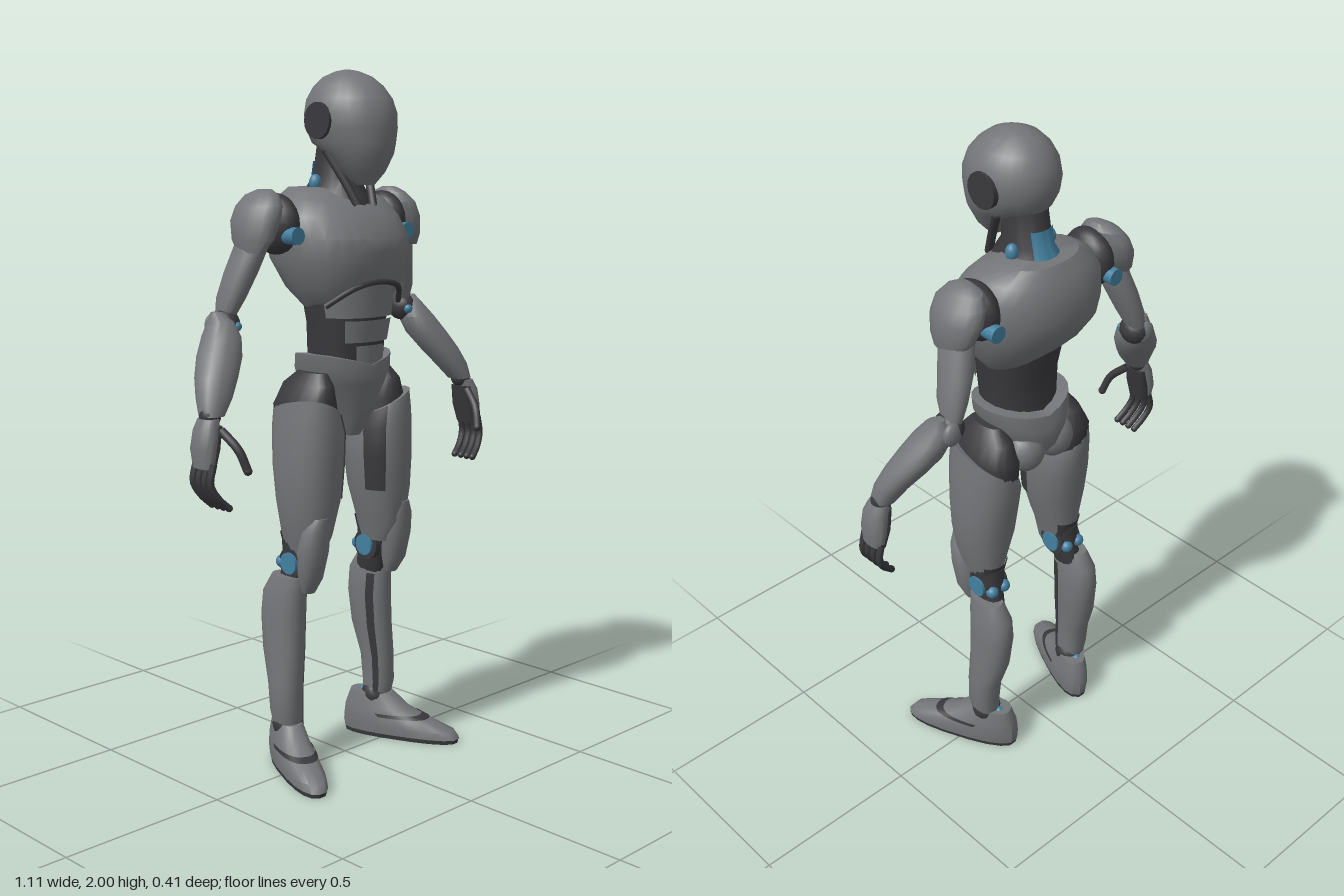
import * as THREE from 'three';
import { toCreasedNormals } from 'three/addons/utils/BufferGeometryUtils.js';

const mat = (name, color) => {
  const m = new THREE.MeshStandardMaterial({ color, side: THREE.DoubleSide });
  m.name = name;
  return m;
};

export function createModel() {
  const root = new THREE.Group();
  root.name = 'robot';
  const shell = mat('shell grey', 0x737578);
  const dark = mat('joint charcoal', 0x39383c);
  const blue = mat('joint blue', 0x437f9f);

  const add = (parent, name, geo, m) => {
    const mesh = new THREE.Mesh(geo, m);
    mesh.name = name;
    parent.add(mesh);
    return mesh;
  };

  // Skin over horizontal rounded sections [y, x0, x1, z0, z1], lowest first.
  // s = -1 mirrors; arc limits the angle (0 = front, + = outward); out swells it.
  function loft(parent, name, m, secs, { s = 1, p = 2.3, n = 18, arc, out = 0, bend, caps = true } = {}) {
    const pos = [], idx = [], v = new THREE.Vector3();
    const cols = arc ? n + 1 : n;
    const [a0, a1] = arc ? (s > 0 ? arc : [-arc[1], -arc[0]]) : [0, Math.PI * 2];
    const round = t => Math.sign(t) * Math.abs(t) ** (2 / p);
    const rings = secs.map(([y, x0, x1, z0, z1]) => {
      const sum = new THREE.Vector3();
      for (let j = 0; j < cols; j++) {
        const a = a0 + (a1 - a0) * j / n;
        v.set(s * (x0 + x1) / 2 + ((x1 - x0) / 2 + out) * round(Math.sin(a)), y,
          (z0 + z1) / 2 + ((z1 - z0) / 2 + out) * round(Math.cos(a)));
        if (bend) bend(v, s);
        pos.push(v.x, v.y, v.z);
        sum.add(v);
      }
      return sum.divideScalar(cols);
    });
    for (let i = 0; i < secs.length - 1; i++) {
      for (let j = 0; j < n; j++) {
        const k = (j + 1) % cols, a = i * cols + j, b = i * cols + k;
        idx.push(a, b, b + cols, a, b + cols, a + cols);
      }
    }
    if (caps && !arc) {
      const top = (secs.length - 1) * cols, c = pos.length / 3;
      for (const r of [rings[0], rings[rings.length - 1]]) pos.push(r.x, r.y, r.z);
      for (let j = 0; j < n; j++) {
        const k = (j + 1) % n;
        idx.push(c, k, j, c + 1, top + j, top + k);
      }
    }
    const g = new THREE.BufferGeometry();
    g.setAttribute('position', new THREE.Float32BufferAttribute(pos, 3));
    g.setIndex(idx);
    return add(parent, name, toCreasedNormals(g, 0.65), m);
  }

  const ball = (parent, name, m, x, y, z, rx, ry = rx, rz = rx) => {
    const b = add(parent, name, new THREE.SphereGeometry(1, 16, 12), m);
    b.position.set(x, y, z);
    b.scale.set(rx, ry, rz);
  };
  const pin = (parent, name, m, x, y, z, r, len, axis) => {
    const c = add(parent, name, new THREE.CylinderGeometry(r, r, len, 18), m);
    c.position.set(x, y, z);
    if (axis === 'x') c.rotation.z = Math.PI / 2;
    if (axis === 'z') c.rotation.x = Math.PI / 2;
  };
  const tube = (parent, name, m, pts, r) => {
    const curve = new THREE.CatmullRomCurve3(pts.map(q => new THREE.Vector3(...q)));
    add(parent, name, new THREE.TubeGeometry(curve, 12, r, 8), m);
    ball(parent, name + 'Tip', m, ...pts[pts.length - 1], r);
  };
  const sym = (y, w, z0, z1) => [y, -w, w, z0, z1];

  // Head and neck
  const head = new THREE.Group();
  head.name = 'head';
  root.add(head);
  loft(head, 'headShell', shell, [sym(1.685, .025, .06, .105), sym(1.72, .06, 0, .135), sym(1.77, .088, -.035, .158),
    sym(1.80, .104, -.095, .163), sym(1.84, .114, -.116, .166), sym(1.88, .117, -.122, .163), sym(1.92, .109, -.115, .147),
    sym(1.955, .09, -.093, .117), sym(1.98, .064, -.065, .083), sym(1.995, .03, -.03, .045), sym(2, .008, 0, .015)], { p: 2, n: 28 });
  const neck = [sym(1.60, .125, -.17, .085), sym(1.65, .085, -.15, .07), sym(1.70, .06, -.11, .04), sym(1.82, .062, -.085, .05)];
  loft(head, 'neck', dark, neck, { p: 2 });
  loft(head, 'napePlate', blue, [sym(1.64, .09, -.153, .07), ...neck.slice(2, 3), sym(1.75, .061, -.10, .045)],
    { p: 2, arc: [2.5, 3.78], out: .005 });

  // Chest shell with an arched lower edge
  loft(root, 'chestShell', shell, [sym(1.335, .13, -.11, .132), sym(1.40, .167, -.16, .148), sym(1.48, .195, -.205, .153),
    sym(1.54, .205, -.214, .151), sym(1.60, .20, -.206, .105), sym(1.645, .17, -.187, .06), sym(1.678, .115, -.162, -.005)], {
    n: 28, bend: v => {
      const fade = THREE.MathUtils.clamp((1.54 - v.y) / .205, 0, 1);
      v.y += fade * (v.z > 0 ? .085 : .04) * Math.max(0, 1 - (v.x / .15) ** 2);
    },
  });
  tube(root, 'chestArch', dark, [[-.145, 1.355, .07], [-.085, 1.405, .125], [0, 1.42, .135], [.085, 1.405, .125], [.145, 1.355, .07]], .008);

  // Waist and stomach plates
  loft(root, 'waist', dark, [sym(1.13, .105, -.11, .095), sym(1.20, .108, -.10, .10), sym(1.30, .115, -.10, .108), sym(1.46, .135, -.13, .115)]);
  loft(root, 'upperStomachPlate', shell, [sym(1.32, .117, -.10, .118), sym(1.42, .134, -.12, .122)], { arc: [-1.3, 1.3], out: .007 });
  loft(root, 'middleStomachPlate', shell, [sym(1.25, .104, -.09, .106), sym(1.312, .114, -.09, .114)], { arc: [-.8, .8], out: .008 });
  loft(root, 'lowerStomachPlate', shell, [sym(1.17, .10, -.09, .102), sym(1.24, .104, -.09, .103)], { arc: [-.45, .45], out: .006 });

  // Pelvis with a dipped brim
  loft(root, 'pelvis', shell, [sym(.975, .03, -.03, .05), sym(1.02, .052, -.09, .078), sym(1.08, .085, -.135, .097),
    sym(1.13, .115, -.143, .11), sym(1.175, .134, -.14, .116), sym(1.215, .14, -.13, .112)], {
    n: 24, bend: v => { if (v.y > 1.16) v.y -= .03 * Math.max(0, 1 - Math.abs(v.x) / .13); },
  });

  for (const s of [1, -1]) {
    const side = s > 0 ? 'left' : 'right';
    pin(head, side + 'Ear', dark, s * .104, 1.86, .01, .05, .032, 'x');
    ball(head, side + 'NeckLamp', blue, s * .068, 1.69, -.05, .018, .025, .018);
    tube(head, side + 'NeckStrut', dark, [[s * .03, 1.63, .08], [s * .05, 1.7, .045], [s * .075, 1.78, 0]], .012);
    ball(root, side + 'Buttock', shell, s * .055, 1.075, -.088, .06, .065, .056);

    // Arm
    const arm = new THREE.Group();
    arm.name = side + 'Arm';
    root.add(arm);
    const armLoft = (name, m, secs, o) => loft(arm, name, m, secs, { s, ...o });
    ball(arm, 'shoulderJoint', dark, s * .21, 1.58, -.06, .05, .085, .085);
    pin(arm, 'shoulderPin', blue, s * .217, 1.55, -.06, .024, .2, 'z');
    armLoft('shoulderPad', shell, [[1.505, .285, .325, -.11, -.01], [1.54, .25, .331, -.14, .012], [1.59, .226, .329, -.155, .02],
      [1.63, .215, .312, -.15, .015], [1.66, .216, .285, -.13, -.01], [1.675, .23, .26, -.09, -.04]], { p: 2 });
    armLoft('upperArm', shell, [[1.33, .325, .37, -.15, -.085], [1.38, .303, .366, -.155, -.06], [1.45, .272, .347, -.147, -.04],
      [1.52, .25, .325, -.13, -.02], [1.58, .24, .305, -.11, -.03]]);
    ball(arm, 'elbow', dark, s * .352, 1.31, -.112, .038, .042, .045);
    ball(arm, 'elbowLamp', blue, s * .342, 1.305, -.075, .014);
    ball(arm, 'elbowGuard', shell, s * .368, 1.305, -.142, .03, .035, .018);
    armLoft('forearm', shell, [[1.085, .465, .53, -.035, .035], [1.13, .425, .525, -.06, .03], [1.18, .387, .505, -.095, .015],
      [1.23, .353, .475, -.125, -.005], [1.28, .338, .44, -.14, -.03], [1.32, .347, .41, -.14, -.06], [1.345, .37, .40, -.125, -.095]]);
    ball(arm, 'wrist', dark, s * .503, 1.085, 0, .03);
    armLoft('handBack', shell, [[.95, .515, .552, -.03, .045], [1.0, .507, .556, -.04, .05], [1.05, .494, .55, -.035, .045], [1.08, .485, .535, -.03, .035]]);
    armLoft('palm', dark, [[.945, .508, .545, -.028, .042], [1.0, .494, .53, -.035, .045], [1.06, .482, .52, -.03, .04]]);
    for (const z of [-.025, 0, .024, .047]) {
      tube(arm, 'finger', dark, [[s * .532, .965, z], [s * .543, .91, z], [s * .522, .87, z + .008], [s * .493, .842, z + .015]], .01);
    }
    tube(arm, 'thumb', dark, [[s * .495, 1.05, .035], [s * .477, 1.0, .085], [s * .463, .945, .105]], .012);

    // Leg
    const leg = new THREE.Group();
    leg.name = side + 'Leg';
    root.add(leg);
    const legLoft = (name, m, secs, o) => loft(leg, name, m, secs, { s, ...o });
    legLoft('hip', dark, [[.98, .065, .205, -.115, .085], [1.07, .072, .203, -.13, .085], [1.13, .09, .175, -.105, .08], [1.165, .10, .15, -.06, .05]]);
    const thigh = [[.635, .11, .19, -.07, .05], [.70, .095, .207, -.085, .08], [.80, .063, .225, -.10, .092],
      [.90, .056, .227, -.115, .10], [1.0, .055, .22, -.125, .104], [1.055, .072, .212, -.122, .098]];
    const tilt = (v, d) => { v.y += Math.max(0, v.y - .9) * ((v.x * d - .14) * 3 + v.z * 1.5); };
    legLoft('thigh', shell, thigh, { bend: tilt });
    legLoft('innerThighPanel', dark, thigh.slice(2), { bend: tilt, arc: [-1.35, -.65], out: .004 });
    legLoft('kneeCore', dark, [[.50, .14, .20, -.12, -.01], [.60, .12, .19, -.085, .02], [.68, .107, .198, -.087, .05]]);
    legLoft('kneeBackPanel', dark, thigh.slice(0, 2), { arc: [2.3, 3.98], out: .004 });
    legLoft('kneeCap', shell, [[.535, .15, .188, .005, .04], [.58, .135, .207, 0, .066], [.66, .125, .214, 0, .085],
      [.72, .125, .21, .02, .09], [.76, .14, .19, .04, .09]]);
    pin(leg, 'kneeRing', dark, s * .153, .615, -.03, .046, .078, 'x');
    pin(leg, 'kneePin', blue, s * .153, .615, -.03, .032, .095, 'x');
    for (const x of [.132, .178]) ball(leg, 'kneeBackLamp', blue, s * x, .61, -.078, .019);
    const shin = [[.10, .148, .22, -.09, -.01], [.17, .15, .235, -.098, 0], [.25, .148, .235, -.107, 0], [.35, .136, .23, -.138, 0],
      [.45, .13, .227, -.15, 0], [.52, .132, .222, -.145, .005], [.575, .143, .21, -.11, .008]];
    legLoft('shin', shell, shin);
    legLoft('shinSeam', dark, shin.slice(0, 6), { arc: [-1.25, -.85], out: .003, n: 4 });
    ball(leg, 'ankle', dark, s * .185, .125, -.05, .046);
    ball(leg, 'ankleLamp', blue, s * .172, .125, -.095, .015);

    // Foot, turned outward
    const foot = new THREE.Group();
    foot.name = side + 'Foot';
    foot.position.set(s * .205, 0, 0);
    foot.rotation.y = s * .415;
    leg.add(foot);
    loft(foot, 'sole', dark, [sym(0, .05, -.152, .212), sym(.014, .052, -.156, .215)], { p: 2.5 });
    loft(foot, 'footShell', shell, [sym(.013, .053, -.156, .217), sym(.035, .054, -.16, .20), sym(.06, .052, -.157, .13),
      sym(.09, .047, -.152, .055), sym(.135, .038, -.135, .0)], { p: 2.5 });
    loft(foot, 'instepSeam', dark, [sym(.066, .051, -.156, .116), sym(.076, .0495, -.154, .09)], { p: 2.5, arc: [-1.6, 1.6], out: .003 });
  }
  return root;
}
